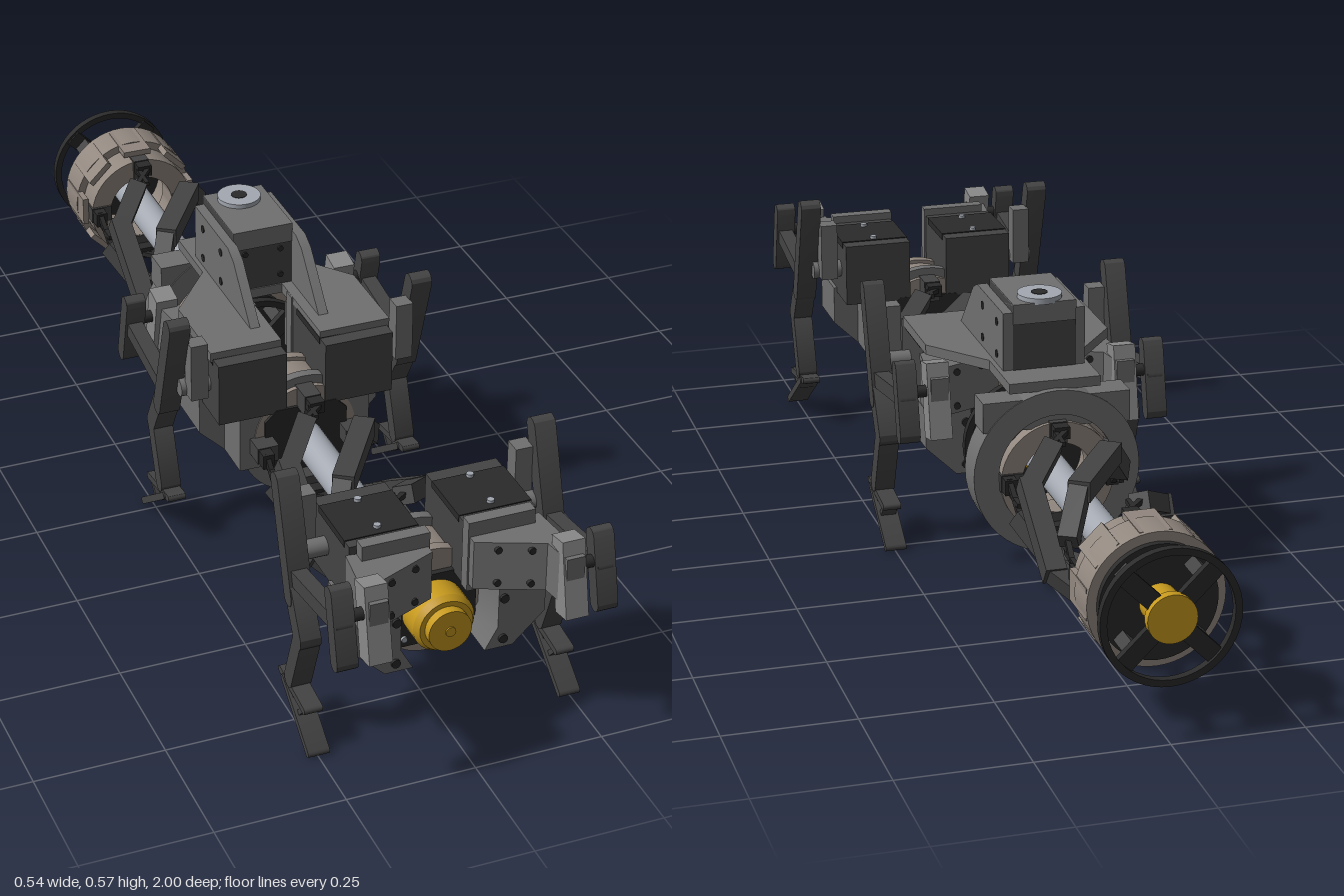
import * as THREE from 'three';
import { toCreasedNormals } from 'three/addons/utils/BufferGeometryUtils.js';

const mat = (color) => new THREE.MeshStandardMaterial({ color });
const dark = mat(0x444444), black = mat(0x2a2a2a), grey = mat(0x707070), pale = mat(0x8a8a8a);
const tan = mat(0x91877f), gold = mat(0xc79a1e), steel = mat(0xa4a9b2);

function add(parent, name, geo, material, x = 0, y = 0, z = 0) {
  const m = new THREE.Mesh(geo, material);
  m.name = name;
  m.position.set(x, y, z);
  parent.add(m);
  return m;
}
const box = (w, h, d) => new THREE.BoxGeometry(w, h, d);
const cylZ = (r, len, n = 32, rFront = r) => new THREE.CylinderGeometry(rFront, r, len, n).rotateX(Math.PI / 2);
const cylX = (r, len) => new THREE.CylinderGeometry(r, r, len, 20).rotateZ(Math.PI / 2);
const polygon = (pts) => new THREE.Shape(pts.map((p) => new THREE.Vector2(...p)));

// extrusion centred on its depth; axis z, x (outline in z,y) or y (outline in x,z)
function slab(shape, depth, axis = 'z') {
  const g = new THREE.ExtrudeGeometry(shape, { depth, bevelEnabled: false, curveSegments: 24 });
  g.translate(0, 0, -depth / 2);
  if (axis === 'x') g.rotateY(-Math.PI / 2);
  if (axis === 'y') g.rotateX(Math.PI / 2);
  return toCreasedNormals(g, 0.6);
}

function ring(ro, ri, depth) {
  const s = new THREE.Shape().absarc(0, 0, ro, 0, Math.PI * 2);
  s.holes.push(new THREE.Path().absarc(0, 0, ri, 0, Math.PI * 2, true));
  return slab(s, depth);
}

// rounded-end link in the z,y plane
function link(parent, name, a, b, w, x, thick) {
  const dz = b[0] - a[0], dy = b[1] - a[1], len = Math.hypot(dz, dy), r = w / 2;
  const s = new THREE.Shape().absarc(len, 0, r, -Math.PI / 2, Math.PI / 2);
  s.absarc(0, 0, r, Math.PI / 2, Math.PI * 1.5);
  add(parent, name, slab(s, thick, 'x'), dark, x, a[1], a[0]).rotation.x = -Math.atan2(dy, dz);
}

// square bar between two points, up gives its flat side
function bar(parent, name, a, b, w, h, up, material = dark) {
  const m = add(parent, name, box(w, h, a.distanceTo(b)), material);
  m.position.copy(a).add(b).multiplyScalar(0.5);
  m.up.copy(up);
  m.lookAt(b);
}

// twisting joint: central shaft and four bent arms hung on small pivots
function twistJoint(half) {
  const g = new THREE.Group();
  g.name = 'twistJoint';
  add(g, 'centralShaft', cylZ(0.033, half * 2 + 0.2), steel);
  for (let k = 0; k < 4; k++) {
    const c = Math.cos(k * Math.PI / 2), s = Math.sin(k * Math.PI / 2);
    const P = (r, t, z) => new THREE.Vector3(r * c - t * s, r * s + t * c, z);
    const up = P(1, 0, 0);
    bar(g, 'armMiddle', P(0.102, -0.058, -0.088), P(0.102, 0.058, 0.088), 0.042, 0.04, up);
    for (const e of [-1, 1]) {
      bar(g, 'armEnd', P(0.102, e * 0.052, e * 0.075), P(0.035, e * 0.098, e * 0.155), 0.036, 0.038, up);
      // thin crossed pins, their clevis and its foot on the drum
      const z0 = e * 0.15, z1 = e * (half - 0.03);
      bar(g, 'pivotPin', P(0.04, e * 0.098, z0), P(-0.012, e * 0.102, z1), 0.01, 0.01, up, black);
      bar(g, 'pivotPin', P(0.015, e * 0.1, z0), P(0.012, e * 0.1, z1), 0.009, 0.009, up, black);
      bar(g, 'clevis', P(0, e * 0.1, e * (half - 0.04)), P(0, e * 0.1, e * (half + 0.01)), 0.024, 0.03, up, black);
      bar(g, 'clevisFoot', P(0, e * 0.092, e * (half - 0.015)), P(0, e * 0.092, e * (half + 0.04)), 0.044, 0.034, up);
    }
  }
  return g;
}

// drum with golden hub and spoked wheel; its wheel looks along +z
function drumUnit() {
  const g = new THREE.Group();
  g.name = 'drumUnit';
  add(g, 'drumNeck', ring(0.112, 0.07, 0.06), tan, 0, 0, 0.02);
  add(g, 'drumShell', ring(0.128, 0.085, 0.072), tan, 0, 0, 0.083);
  add(g, 'drumPlate', ring(0.11, 0.035, 0.014), black, 0, 0, 0.125);
  for (let i = 0; i < 8; i++) {
    const a = i * Math.PI / 4;
    add(g, 'drumPad', box(0.012, 0.06, 0.1), tan, Math.cos(a) * 0.12, Math.sin(a) * 0.12, 0.06).rotation.z = a;
  }
  add(g, 'hub', cylZ(0.036, 0.08), gold, 0, 0, 0.155);
  add(g, 'hubCap', cylZ(0.046, 0.018), gold, 0, 0, 0.2);
  add(g, 'wheelRim', ring(0.13, 0.117, 0.016), black, 0, 0, 0.195);
  for (let i = 0; i < 4; i++) {
    const a = (i + 0.5) * Math.PI / 2, c = Math.cos(a), s = Math.sin(a);
    add(g, 'spoke', box(0.09, 0.034, 0.014), black, c * 0.08, s * 0.08, 0.19).rotation.z = a;
    add(g, 'spokePost', box(0.024, 0.03, 0.06), dark, c * 0.09, s * 0.09, 0.155).rotation.z = a;
  }
  return g;
}

function leg(parent, s) {
  const g = new THREE.Group(), x = s * 0.249;
  g.name = s > 0 ? 'leftLeg' : 'rightLeg';
  parent.add(g);
  link(g, 'lever', [0.70, 0.495], [0.765, 0.29], 0.036, x, 0.042);
  link(g, 'thigh', [0.765, 0.30], [0.808, 0.225], 0.038, x, 0.04);
  link(g, 'shin', [0.808, 0.225], [0.765, 0.11], 0.034, x, 0.04);
  link(g, 'footSole', [0.862, 0.009], [0.74, 0.095], 0.014, x, 0.042);
  link(g, 'footTop', [0.835, 0.085], [0.72, 0.1], 0.014, x, 0.036);
  link(g, 'footStrut', [0.80, 0.055], [0.83, 0.088], 0.01, x, 0.03);
  link(g, 'footStrut', [0.77, 0.075], [0.765, 0.11], 0.018, x, 0.03);
  // drive linkage in front of the leg
  link(g, 'crank', [0.95, 0.415], [0.98, 0.29], 0.032, x, 0.04);
  link(g, 'pushRod', [0.965, 0.36], [0.77, 0.33], 0.03, x, 0.03);
  add(g, 'crankPin', cylX(0.012, 0.06), black, s * 0.225, 0.37, 0.962);
  add(g, 'legPin', cylX(0.018, 0.07), grey, s * 0.205, 0.35, 0.72);
  add(g, 'servoHorn', box(0.035, 0.12, 0.035), grey, s * 0.212, 0.40, 0.695);
}

// body carrying one pair of legs, facing +z
function legModule() {
  const g = new THREE.Group();
  g.name = 'legModule';
  const cy = 0.218;
  add(g, 'neckDrum', ring(0.105, 0.045, 0.11), tan, 0, cy + 0.007, 0.72);
  add(g, 'neckDisc', ring(0.13, 0.045, 0.02), grey, 0, cy, 0.685);
  add(g, 'frontDisc', cylZ(0.11, 0.02), tan, 0, 0.228, 0.775);
  const flange = polygon([[-0.085, -0.05], [-0.062, -0.073], [0.062, -0.073], [0.085, -0.05],
    [0.085, 0.05], [0.062, 0.073], [-0.062, 0.073], [-0.085, 0.05]]);
  for (const z of [0.79, 0.665]) add(g, 'flange', slab(flange, 0.012), black, 0, cy, z);
  // stepped motor
  add(g, 'motor', cylZ(0.06, 0.05), gold, 0, cy, 0.82);
  add(g, 'motorStep', cylZ(0.06, 0.012, 32, 0.052), gold, 0, cy, 0.851);
  add(g, 'motorCap', cylZ(0.042, 0.018), gold, 0, cy, 0.866);
  add(g, 'motorTip', cylZ(0.01, 0.004, 12), gold, 0, cy, 0.876);
  const hullSide = [[0.187, 0.295], [0.187, 0.215], [0.125, 0.155], [0.07, 0.155], [0.095, 0.2], [0.095, 0.295]];
  for (const s of [-1, 1]) {
    add(g, 'hullSide', slab(polygon(hullSide.map(([x, y]) => [s * x, y])), 0.12), grey, 0, 0, 0.812);
    add(g, 'hullRear', box(0.07, 0.13, 0.09), grey, s * 0.1, 0.23, 0.712);
    add(g, 'legServo', box(0.14, 0.13, 0.17), dark, s * 0.11, 0.35, 0.745);
    add(g, 'servoLid', box(0.142, 0.014, 0.12), black, s * 0.11, 0.41, 0.75);
    add(g, 'frontPlate', box(0.13, 0.145, 0.025), grey, s * 0.102, 0.357, 0.845);
    // arm sweeping out to the crank
    const arm = polygon([[s * 0.04, 0.85], [s * 0.187, 0.83], [s * 0.205, 0.985], [s * 0.17, 0.985], [s * 0.16, 0.925], [s * 0.04, 0.875]]);
    add(g, 'crankArm', slab(arm, 0.1, 'y'), grey, 0, 0.35, 0);
    add(g, 'crankBlock', box(0.044, 0.15, 0.045), pale, s * 0.188, 0.35, 0.963).rotation.x = -0.2;
    for (const y of [0.315, 0.385]) {
      add(g, 'plateBolt', cylZ(0.007, 0.008, 10), black, s * 0.08, y, 0.892);
      add(g, 'plateBolt', cylZ(0.007, 0.008, 10), black, s * 0.135, y, 0.915);
    }
    for (const y of [0.163, 0.273]) {
      add(g, 'flangeBolt', cylZ(0.006, 0.008, 10), steel, s * 0.056, y, 0.797);
      add(g, 'hullBolt', cylZ(0.009, 0.008, 10), black, s * 0.105, 0.044 + y * 0.8, 0.873);
    }
    for (const z of [0.70, 0.79]) add(g, 'lidBolt', new THREE.CylinderGeometry(0.007, 0.007, 0.008, 10), steel, s * 0.11, 0.419, z);
    leg(g, s);
  }
  return g;
}

// bracket, upright servo and ring that tie the middle body to the rear joint
function saddle() {
  const g = new THREE.Group();
  g.name = 'saddle';
  const plate = [[-0.185, 0.15], [-0.185, -0.03], [-0.09, -0.15], [-0.09, -0.29], [0.09, -0.29], [0.09, -0.15],
    [0.185, -0.03], [0.185, 0.15], [0.04, 0.15], [0.04, -0.05], [-0.04, -0.05], [-0.04, 0.15]];
  add(g, 'saddlePlate', slab(polygon(plate), 0.02, 'y'), grey, 0, 0.42, 0);
  const cheek = polygon([[0.1, 0.42], [0.0, 0.53], [-0.03, 0.545], [-0.215, 0.545], [-0.215, 0.42]]);
  for (const s of [-1, 1]) {
    add(g, 'cheekPlate', slab(cheek, 0.02, 'x'), grey, s * 0.071, 0, 0);
    for (const y of [0.45, 0.515]) for (const z of [-0.07, -0.17])
      add(g, 'cheekBolt', cylX(0.008, 0.003), black, s * 0.081, y, z);
  }
  add(g, 'spineServo', box(0.124, 0.146, 0.165), dark, 0, 0.487, -0.135);
  add(g, 'servoCover', box(0.124, 0.04, 0.17), grey, 0, 0.542, -0.135);
  for (const x of [-0.037, 0.037]) for (const y of [0.452, 0.51])
    add(g, 'servoBolt', cylZ(0.006, 0.006, 10), black, x, y, -0.052);
  add(g, 'servoDisc', new THREE.CylinderGeometry(0.043, 0.043, 0.012, 28), steel, 0, 0.565, -0.182);
  add(g, 'discHub', new THREE.CylinderGeometry(0.016, 0.016, 0.014, 16), black, 0, 0.565, -0.182);
  add(g, 'saddleRing', ring(0.164, 0.115, 0.065), grey, 0, 0.25, -0.272);
  add(g, 'ringCap', box(0.29, 0.06, 0.06), grey, 0, 0.37, -0.272);
  return g;
}

export function createModel() {
  const root = new THREE.Group();
  root.name = 'leggedCrawler';
  const place = (part, y, z, turn = 0) => {
    part.position.set(0, y, z);
    part.rotation.y = turn;
    root.add(part);
  };
  place(legModule(), 0, 0);
  place(legModule(), 0, 0.84, Math.PI);
  place(saddle(), 0, 0);
  place(twistJoint(0.22), 0.218, 0.42);
  place(twistJoint(0.245), 0.24, -0.545);
  place(drumUnit(), 0.24, -0.30);
  place(drumUnit(), 0.24, -0.79, Math.PI);
  return root;
}
